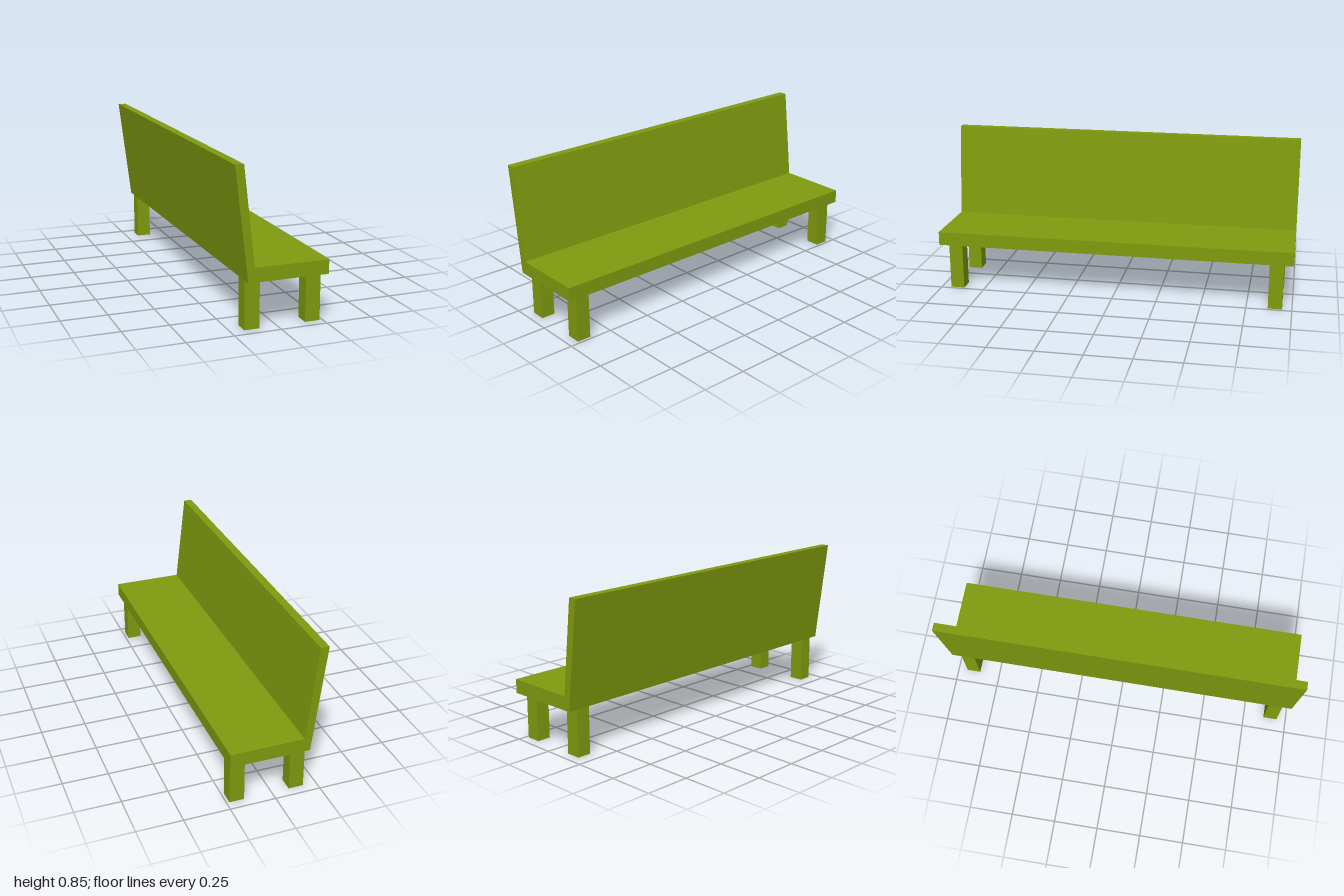
import * as THREE from 'three';

export function createModel() {
  const bench = new THREE.Group();
  bench.name = 'bench';

  const olive = new THREE.MeshStandardMaterial({ color: 0x809b0e });
  olive.name = 'olive green';

  // Seat and leaning backrest: one L-shaped profile swept along z
  const length = 2;
  const profile = new THREE.Shape([
    [-0.18, 0.259], [0.253, 0.259], [0.253, 0.335],
    [-0.147, 0.335], [-0.207, 0.85], [-0.253, 0.85],
  ].map(([x, y]) => new THREE.Vector2(x, y)));
  const bodyGeometry = new THREE.ExtrudeGeometry(profile, { depth: length, bevelEnabled: false });
  bodyGeometry.translate(0, 0, -length / 2);
  const body = new THREE.Mesh(bodyGeometry, olive);
  body.name = 'seatAndBackrest';
  bench.add(body);

  // Four square legs
  const legHeight = 0.259;
  const legGeometry = new THREE.BoxGeometry(0.081, legHeight, 0.078);
  for (const [row, x] of [['back', -0.137], ['front', 0.194]]) {
    for (const side of [-1, 1]) {
      const leg = new THREE.Mesh(legGeometry, olive);
      leg.name = row + (side > 0 ? 'LegNear' : 'LegFar');
      leg.position.set(x, legHeight / 2, side * 0.908);
      bench.add(leg);
    }
  }

  return bench;
}
